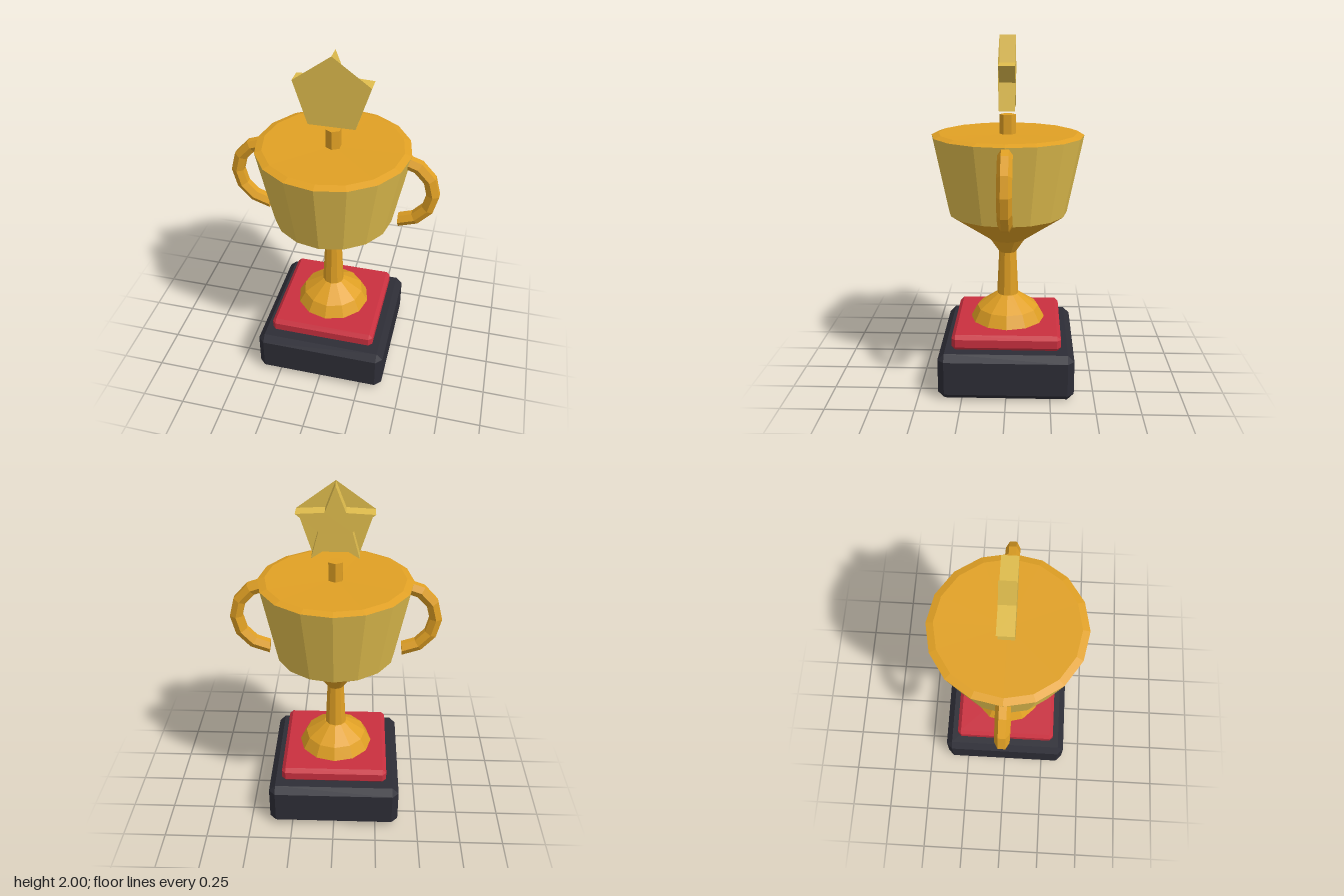
import * as THREE from 'three';
import { ConvexGeometry } from 'three/addons/geometries/ConvexGeometry.js';

const makeMaterial = (name, color, side = THREE.FrontSide) => {
  const m = new THREE.MeshStandardMaterial({ color, flatShading: true, side });
  m.name = name;
  return m;
};

// Box with every edge chamfered by b, standing on y = bottom
function chamferedBox(half, bottom, top, b) {
  const points = [];
  const hy = (top - bottom) / 2, cy = (top + bottom) / 2;
  for (const sx of [-1, 1]) for (const sy of [-1, 1]) for (const sz of [-1, 1])
    for (const [dx, dy, dz] of [[0, b, b], [b, 0, b], [b, b, 0]])
      points.push(new THREE.Vector3(sx * (half - dx), cy + sy * (hy - dy), sz * (half - dz)));
  return new ConvexGeometry(points);
}

// Profile of [radius, height] pairs turned around the vertical axis
const turned = (profile, sides) =>
  new THREE.LatheGeometry(profile.map(([r, y]) => new THREE.Vector2(r, y)), sides);

// Closed outline through points around a centre, alternating the given radii
function radialShape(count, radii) {
  const points = [];
  for (let i = 0; i < count; i++) {
    const a = (i / count) * Math.PI * 2 + Math.PI / 2;
    const r = radii[i % radii.length];
    points.push(new THREE.Vector2(Math.cos(a) * r, Math.sin(a) * r));
  }
  return new THREE.Shape(points);
}

export function createModel() {
  const model = new THREE.Group();
  model.name = 'trophy';
  const gold = makeMaterial('gold', 0xe0a024, THREE.DoubleSide);
  const paleGold = makeMaterial('pale gold', 0xdfbc4d, THREE.DoubleSide);
  const red = makeMaterial('red', 0xc9303f);
  const black = makeMaterial('charcoal', 0x2d2d36);

  const add = (name, geometry, material, parent = model) => {
    const mesh = new THREE.Mesh(geometry, material);
    mesh.name = name;
    parent.add(mesh);
    return mesh;
  };

  // Plinth
  add('base', chamferedBox(0.385, 0, 0.27, 0.037), black);
  add('redPlate', chamferedBox(0.31, 0.27, 0.36, 0.022), red);

  // Foot, stem and cup
  add('foot', turned([[0.22, 0.355], [0.18, 0.43], [0.065, 0.51], [0, 0.51]], 12), gold);
  add('stem', turned([[0.063, 0.505], [0.05, 0.775]], 10), gold);
  add('lowerBowl', turned([[0, 0.77], [0.05, 0.77], [0.105, 0.85], [0.34, 1.01]], 16), gold);
  add('bowlSide', turned([[0.34, 1.01], [0.43, 1.455]], 16), paleGold);
  add('bowlTop', turned([[0.43, 1.455], [0.39, 1.468], [0, 1.46]], 16), gold);

  // Peg under the star
  add('peg', new THREE.CylinderGeometry(0.045, 0.045, 0.13, 6), gold).position.y = 1.505;

  // Handles: hexagonal bar swept along an arc
  const R = 0.2, r = 0.04, gap = THREE.MathUtils.degToRad(5);
  const section = [];
  for (let i = 0; i <= 6; i++) {
    const v = -Math.PI / 6 + (i * Math.PI) / 3;
    section.push([R + r * Math.cos(v), r * Math.sin(v)]);
  }
  const bar = new THREE.LatheGeometry(
    section.map(([x, y]) => new THREE.Vector2(x, y)), 6, gap, Math.PI - 2 * gap);
  bar.rotateX(Math.PI / 2);
  for (const [name, turn] of [['leftHandle', 0], ['rightHandle', Math.PI]]) {
    const handle = new THREE.Group();
    handle.name = name;
    handle.rotation.y = turn;
    const arc = new THREE.Group();
    arc.name = name + 'Arc';
    arc.position.set(0.36, 1.23, 0);
    add('handleBar', bar, gold, arc);
    for (const s of [-1, 1]) {
      const cap = new THREE.CircleGeometry(r, 6, Math.PI / 6);
      cap.rotateX(Math.PI / 2).translate(R, 0, 0).rotateZ(s * (Math.PI / 2 - gap));
      add('handleEnd', cap, gold, arc);
    }
    handle.add(arc);
    model.add(handle);
  }

  // Star with a flat five-sided face plate on its front
  const star = new THREE.Group();
  star.name = 'star';
  star.position.y = 1.78;
  const body = new THREE.ExtrudeGeometry(radialShape(10, [0.22, 0.094]),
    { depth: 0.088, bevelEnabled: false });
  add('starBody', body.translate(0, 0, -0.044), paleGold, star);
  const plate = new THREE.ShapeGeometry(radialShape(5, [0.22]));
  add('starFacePlate', plate.translate(0, 0, 0.045), paleGold, star);
  model.add(star);

  return model;
}
